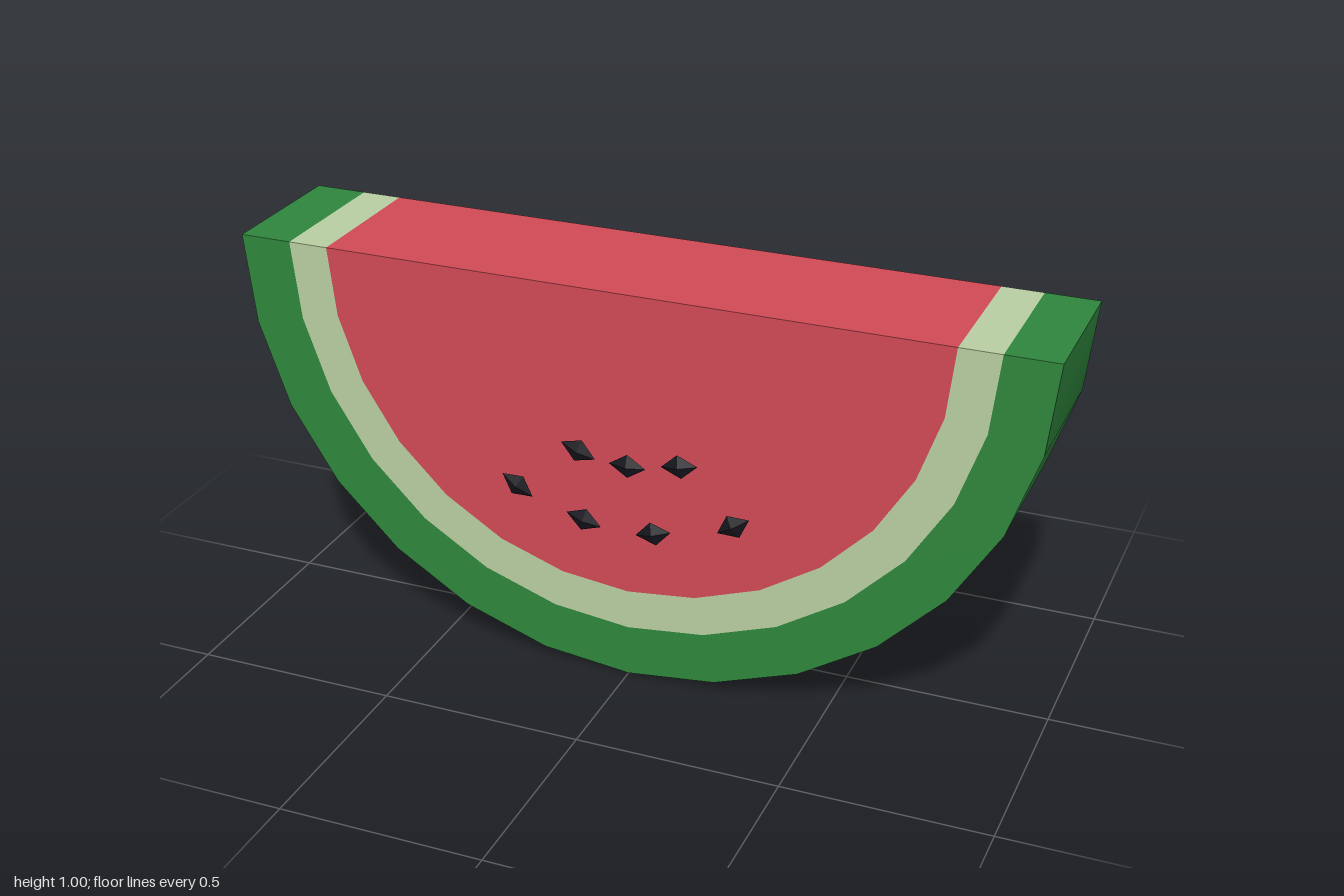
import * as THREE from 'three';
import { toCreasedNormals } from 'three/addons/utils/BufferGeometryUtils.js';

const HALF_DEPTH = 0.185;
const SEGMENTS = 14;

function material(name, color) {
  const m = new THREE.MeshStandardMaterial({ color });
  m.name = name;
  return m;
}

// Points of a lower half circle hanging from y = 1, left to right
function arc(radius) {
  return Array.from({ length: SEGMENTS + 1 }, (_, i) => {
    const a = Math.PI * (1 + i / SEGMENTS);
    return new THREE.Vector2(radius * Math.cos(a), 1 + radius * Math.sin(a));
  });
}

// Half-disc band between two radii; an inner radius of 0 gives a solid half disc
function layer(name, outer, inner, mat) {
  const outline = arc(outer);
  if (inner > 0) outline.push(...arc(inner).reverse());
  const geometry = new THREE.ExtrudeGeometry(new THREE.Shape(outline), {
    depth: HALF_DEPTH * 2,
    bevelEnabled: false,
  });
  geometry.translate(0, 0, -HALF_DEPTH);
  const mesh = new THREE.Mesh(toCreasedNormals(geometry, Math.PI / 6), mat);
  mesh.name = name;
  return mesh;
}

// Seed positions on the cut face: x, y, tilt in degrees
const SEEDS = [
  [-0.12, 0.592, -20],
  [0.005, 0.574, 0],
  [0.135, 0.597, 10],
  [-0.28, 0.47, -32],
  [0.27, 0.468, 32],
  [-0.108, 0.411, -15],
  [0.07, 0.408, 15],
];

export function createModel() {
  const model = new THREE.Group();
  model.name = 'watermelonSlice';

  const green = material('rind green', 0x2f863d);
  const pale = material('pale green', 0xb8cfa2);
  const red = material('flesh red', 0xd04a56);
  const black = material('seed black', 0x15151d);

  // Skin, inner rind and flesh
  model.add(
    layer('skin', 1, 0.87, green),
    layer('innerRind', 0.87, 0.77, pale),
    layer('flesh', 0.77, 0, red),
  );

  // Flat diamond seeds on both cut faces
  const seedGeometry = new THREE.OctahedronGeometry(1).scale(0.046, 0.03, 0.0125);
  for (const [side, face] of [[1, 'front'], [-1, 'back']]) {
    for (const [x, y, tilt] of SEEDS) {
      const seed = new THREE.Mesh(seedGeometry, black);
      seed.name = `${face}Seed`;
      seed.position.set(x, y, side * (HALF_DEPTH + 0.0125));
      seed.rotation.z = THREE.MathUtils.degToRad(tilt);
      model.add(seed);
    }
  }

  return model;
}
